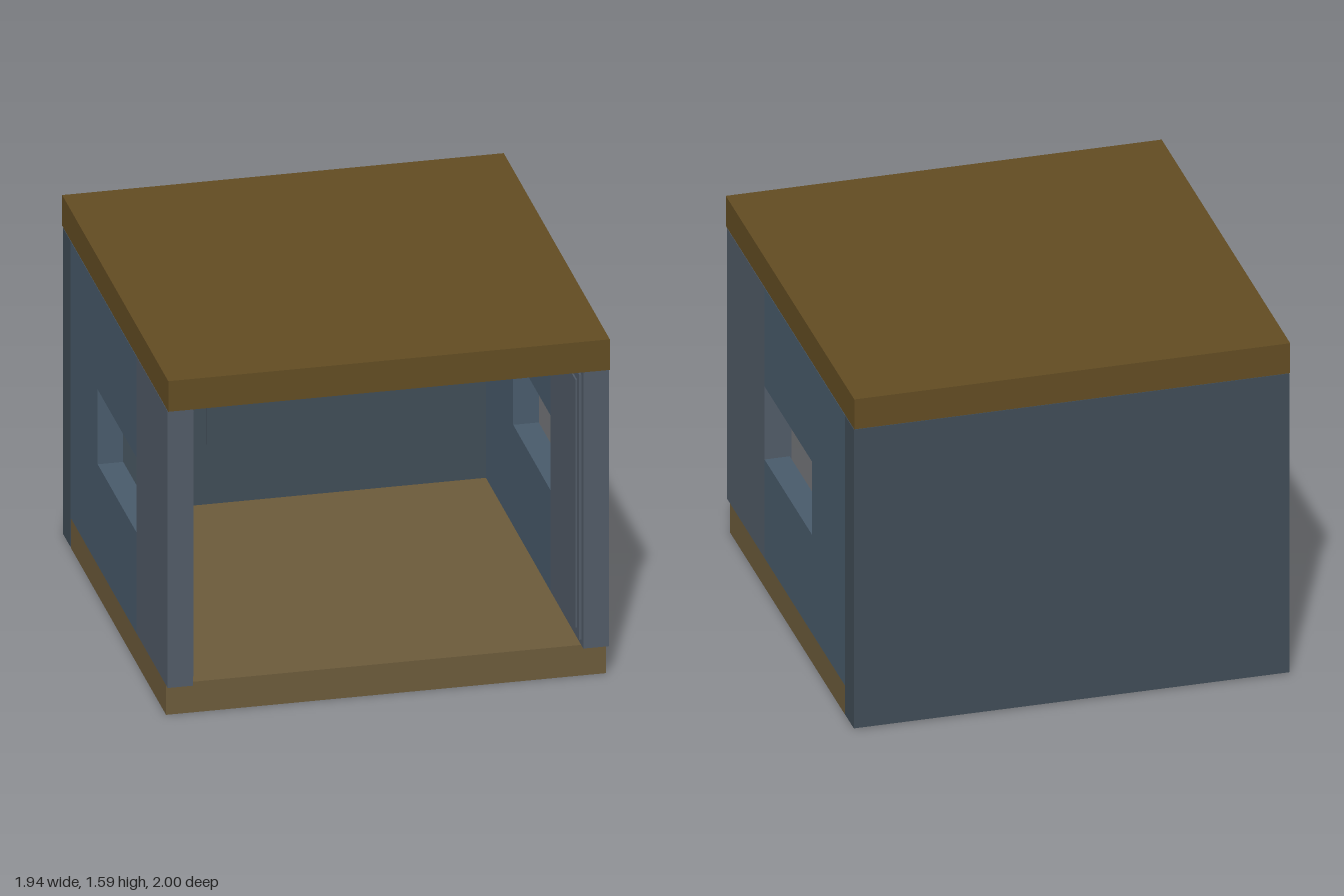
import * as THREE from 'three';

const mat = (color) => new THREE.MeshStandardMaterial({ color, flatShading: true });

export function createModel() {
  const group = new THREE.Group();
  const wood = mat(0x6b5a3a), roofWood = mat(0x614b22);
  const frontWall = mat(0x505a66), midWall = mat(0x485a6a), backWall = mat(0x3f4b55);

  // Box given by its minimum and maximum corners
  function block(name, material, [x0, y0, z0], [x1, y1, z1], parent = group) {
    const mesh = new THREE.Mesh(new THREE.BoxGeometry(x1 - x0, y1 - y0, z1 - z0), material);
    mesh.position.set((x0 + x1) / 2, (y0 + y1) / 2, (z0 + z1) / 2);
    mesh.name = name;
    parent.add(mesh);
  }

  // Floor slab, flat roof and full-height back wall
  block('floor', wood, [-0.965, 0, -0.85], [0.965, 0.143, 0.945]);
  block('roof', roofWood, [-0.968, 1.442, -1], [0.968, 1.585, 1]);
  block('backWall', backWall, [-0.967, 0.005, -0.99], [0.967, 1.435, -0.85]);

  // Stepped raised panel in the middle of the back wall
  block('backPanelFrame', backWall, [-0.47, 0.375, -0.85], [0.47, 1.07, -0.815]);
  block('backPanelCentre', backWall, [-0.38, 0.44, -0.815], [0.38, 1.0, -0.805]);

  // Side walls: sections around a window opening, with a panel inside the front section
  const outer = 0.967, inner = 0.855, bottom = 0.143, top = 1.437;
  for (const [side, s] of [['left', 1], ['right', -1]]) {
    const wall = new THREE.Group();
    wall.name = side + 'Wall';
    group.add(wall);
    const piece = (name, m, xa, xb, y0, y1, z0, z1) =>
      block(name, m, [Math.min(s * xa, s * xb), y0, z0], [Math.max(s * xa, s * xb), y1, z1], wall);
    piece('frontSection', frontWall, inner, outer, bottom, top, 0.4, 0.985);
    piece('rearSection', midWall, inner, outer, bottom, top, -0.85, -0.335);
    piece('windowSill', midWall, inner, outer, bottom, 0.615, -0.335, 0.4);
    piece('windowLintel', midWall, inner, outer, 0.965, top, -0.335, 0.4);
    piece('innerPanelFrame', frontWall, inner - 0.01, inner, 0.17, 1.41, 0.41, 0.95);
    piece('innerPanelCentre', frontWall, inner - 0.017, inner - 0.01, 0.21, 1.37, 0.46, 0.91);
  }
  return group;
}
